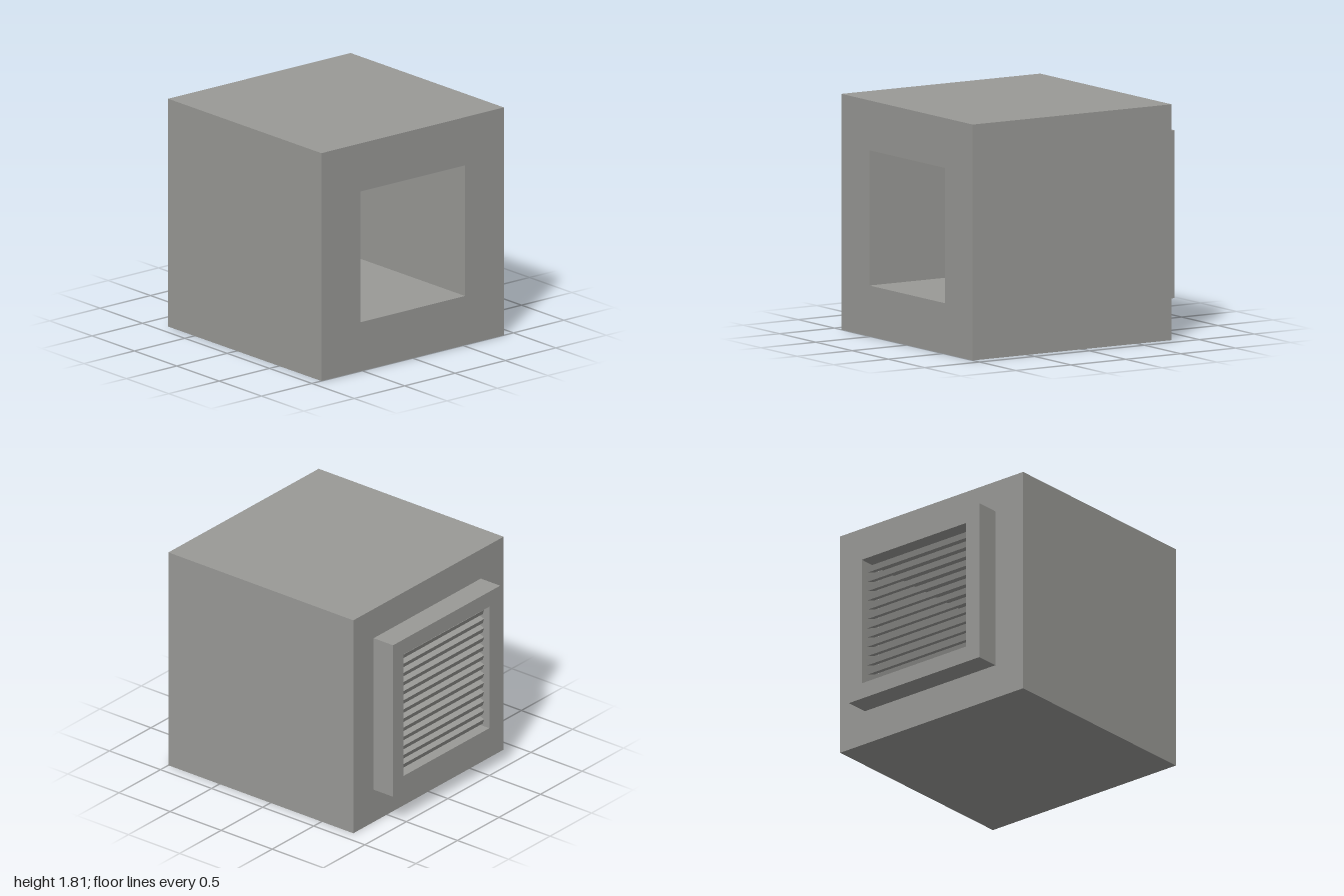
import * as THREE from 'three';

// Rectangular plate with a rectangular opening, extruded from z0 to z1.
// Rectangles are [left, bottom, right, top].
function openBlock(outer, inner, z0, z1, material, name) {
  const corners = ([l, b, r, t]) => [[l, b], [r, b], [r, t], [l, t]].map(([x, y]) => new THREE.Vector2(x, y));
  const shape = new THREE.Shape(corners(outer));
  shape.holes.push(new THREE.Path(corners(inner).reverse()));
  const geometry = new THREE.ExtrudeGeometry(shape, { depth: z1 - z0, bevelEnabled: false });
  geometry.translate(0, 0, z0);
  const mesh = new THREE.Mesh(geometry, material);
  mesh.name = name;
  return mesh;
}

export function createModel() {
  const model = new THREE.Group();
  model.name = 'wallVent';
  const grey = new THREE.MeshStandardMaterial({ color: 0x999996 });
  grey.name = 'grey';

  // Thick wall block with a square duct running right through it
  model.add(openBlock([-0.905, 0, 0.905, 1.813], [-0.52, 0.39, 0.52, 1.43], -0.81, 1, grey, 'wallBlock'));

  // Projecting frame on the back, slightly off the duct's centre
  model.add(openBlock([-0.63, 0.275, 0.66, 1.565], [-0.5, 0.403, 0.532, 1.438], -1, -0.81, grey, 'ventFrame'));

  // Louvre slats sloping down towards the outside (back)
  const slats = new THREE.Group();
  slats.name = 'louvreSlats';
  const slatGeometry = new THREE.BoxGeometry(1.032, 0.043, 0.088);
  for (let i = 0; i < 13; i++) {
    const slat = new THREE.Mesh(slatGeometry, grey);
    slat.name = 'slat';
    slat.position.set(0.016, 1.389 - i * 0.0777, -0.9);
    slat.rotation.x = -THREE.MathUtils.degToRad(20);
    slats.add(slat);
  }
  model.add(slats);
  return model;
}
